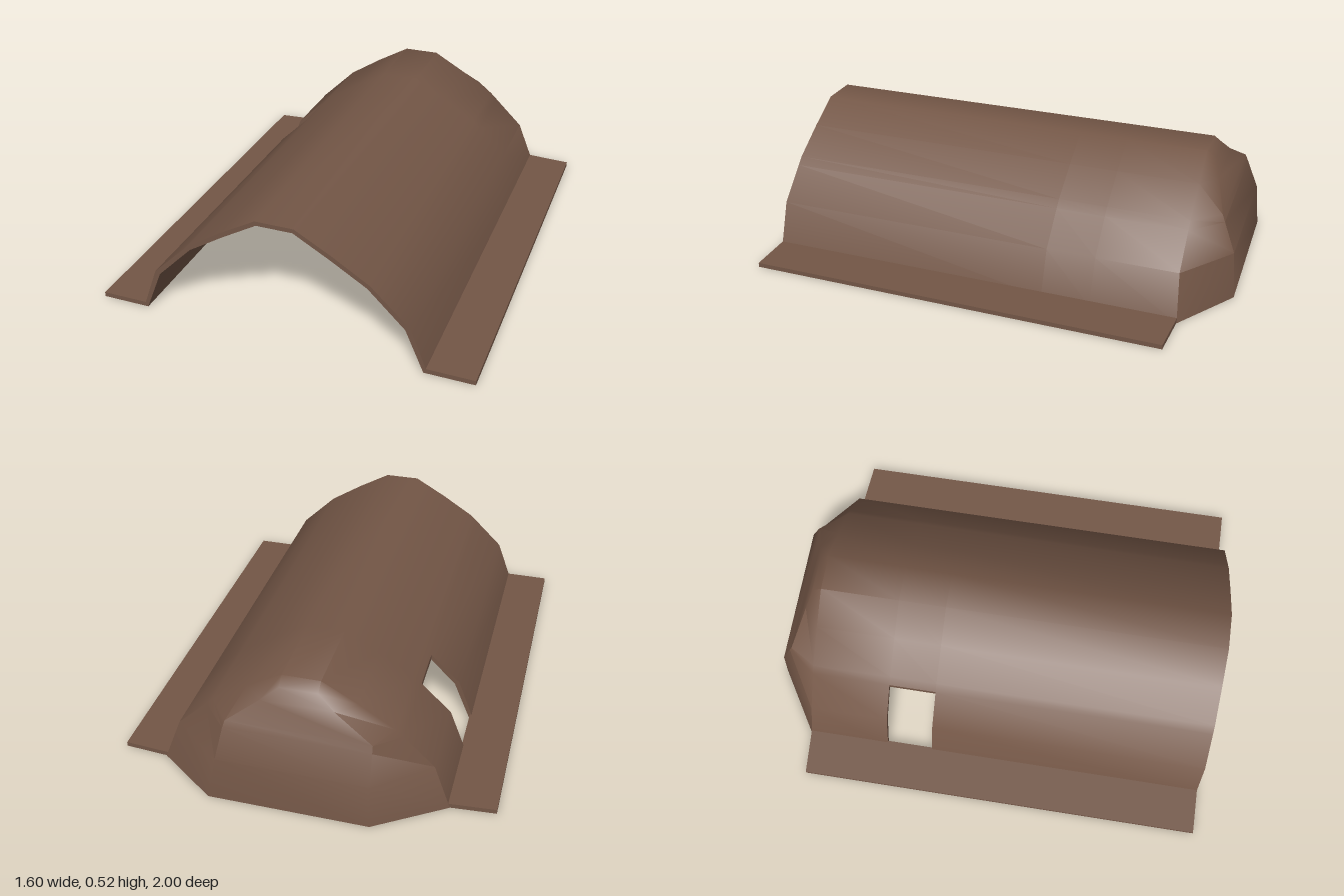
import * as THREE from 'three';
import { toCreasedNormals } from 'three/addons/utils/BufferGeometryUtils.js';

// Half profiles, base to crown: [x, y]
const OUTER = [[0.612, 0], [0.54, 0.19], [0.41, 0.316], [0.38, 0.345], [0.23, 0.44], [0.08, 0.525]];
const INNER = [[0.595, 0], [0.52, 0.18], [0.41, 0.29], [0.37, 0.33], [0.222, 0.422], [0.075, 0.507]];
// Half outline of the end panel, base to crown: [x on -x side, x on +x side, y, z]
const PANEL = [[0.325, 0.35, 0, -1], [0.32, 0.315, 0.19, -0.98], [0.316, 0.293, 0.316, -0.928],
  [0.315, 0.285, 0.345, -0.915], [0.15, 0.15, 0.44, -0.868], [0.08, 0.08, 0.495, -0.842]];
const STATIONS = [1, -0.24, -0.45, -0.8]; // the window lies between stations 1 and 2
const ROWS = 12;

// Grid of points: row i runs over the arch from -x to +x, column j from front to back
function makeGrid(profile, inset) {
  const grid = [];
  for (let i = 0; i < ROWS; i++) {
    const k = Math.min(i, ROWS - 1 - i);
    const side = i < ROWS / 2 ? -1 : 1;
    const [x, y] = profile[k];
    const row = STATIONS.map((z, j) => [side * x, y, j === 3 && k === 0 ? -0.815 : z]);
    const [xl, xr, py, pz] = PANEL[k];
    row.push([side * ((side < 0 ? xl : xr) - inset * 0.6), k ? py - inset * 0.7 : 0, pz + inset]);
    grid.push(row);
  }
  return grid;
}

function quadGeometry(quads) {
  const pos = [];
  for (const [a, b, c, d] of quads) pos.push(...a, ...b, ...c, ...a, ...c, ...d);
  const g = new THREE.BufferGeometry();
  g.setAttribute('position', new THREE.Float32BufferAttribute(pos, 3));
  return toCreasedNormals(g, 0.75);
}

// Arch skin with the window left out, tapered end and flat end panel
function skin(p, inward) {
  const quads = [];
  for (let i = 0; i < ROWS - 1; i++)
    for (let j = 0; j < 4; j++) {
      if (j === 1 && i < 2) continue;
      quads.push([p[i][j], p[i + 1][j], p[i + 1][j + 1], p[i][j + 1]]);
    }
  for (let i = 0; i < 5; i++) quads.push([p[i][4], p[i + 1][4], p[10 - i][4], p[11 - i][4]]);
  return quadGeometry(inward ? quads.map((q) => q.reverse()) : quads);
}

export function createModel() {
  const group = new THREE.Group();
  const brown = new THREE.MeshStandardMaterial({ color: 0x735646, side: THREE.DoubleSide });
  brown.name = 'brown';
  const add = (name, geometry) => {
    const mesh = new THREE.Mesh(geometry, brown);
    mesh.name = name;
    group.add(mesh);
    return mesh;
  };

  const o = makeGrid(OUTER, 0);
  const n = makeGrid(INNER, 0.018);
  add('outerShell', skin(o, false));
  add('innerLining', skin(n, true));

  // Front opening and underside edges
  const rim = [];
  for (let i = 0; i < ROWS - 1; i++) rim.push([o[i][0], n[i][0], n[i + 1][0], o[i + 1][0]]);
  for (let j = 0; j < 4; j++) {
    rim.push([o[0][j], o[0][j + 1], n[0][j + 1], n[0][j]]);
    rim.push([n[11][j], n[11][j + 1], o[11][j + 1], o[11][j]]);
  }
  rim.push([o[0][4], o[11][4], n[11][4], n[0][4]]);
  add('shellRim', quadGeometry(rim));

  // Window reveal
  const frame = [[o[2][1], o[2][2], n[2][2], n[2][1]]];
  for (let i = 0; i < 2; i++) {
    frame.push([o[i][1], o[i + 1][1], n[i + 1][1], n[i][1]]);
    frame.push([n[i][2], n[i + 1][2], o[i + 1][2], o[i][2]]);
  }
  add('windowReveal', quadGeometry(frame));

  // Side flanges, with a slightly slanted back edge
  for (const s of [-1, 1]) {
    const shape = new THREE.Shape([[0.597, -1], [0.8, -1], [0.8, 0.8], [0.597, 0.815]]
      .map(([x, y]) => new THREE.Vector2(s * x, y)));
    const g = new THREE.ExtrudeGeometry(shape, { depth: 0.02, bevelEnabled: false });
    g.rotateX(-Math.PI / 2);
    add(s > 0 ? 'leftFlange' : 'rightFlange', g);
  }
  return group;
}
